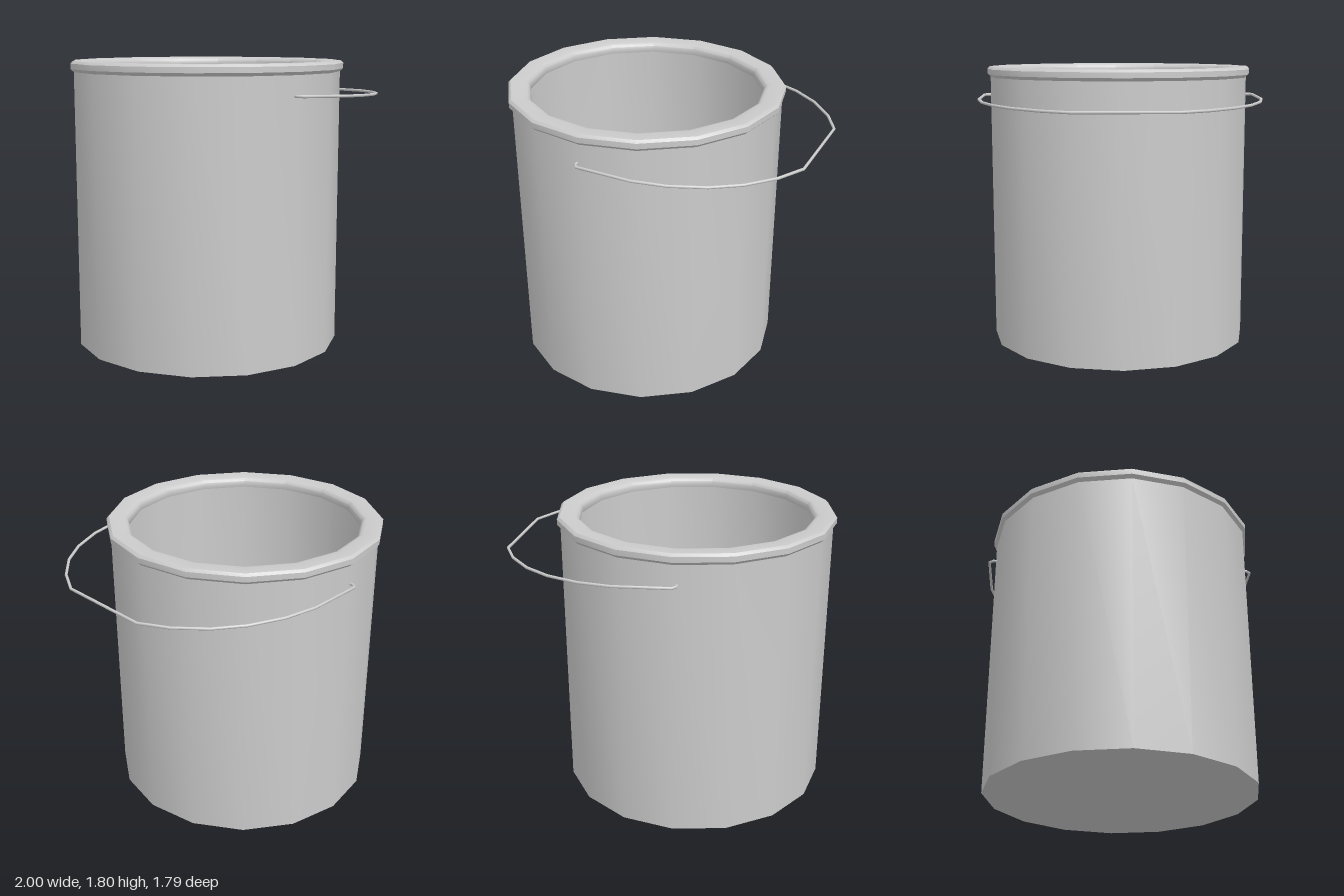
import * as THREE from 'three';
import { toCreasedNormals } from 'three/addons/utils/BufferGeometryUtils.js';

const SIDES = 16;
const CENTRE_X = -0.138;

// Straight-segment path with mitred corners
class Polyline extends THREE.Curve {
  constructor(points) { super(); this.points = points; }
  getPoint(t, target = new THREE.Vector3()) {
    const n = this.points.length - 1;
    const i = Math.min(Math.floor(t * n + 1e-6), n - 1);
    return target.lerpVectors(this.points[i], this.points[i + 1], t * n - i);
  }
  getPointAt(t, target) { return this.getPoint(t, target); }
  getTangentAt(t, target = new THREE.Vector3()) {
    const n = this.points.length - 1, i = Math.round(t * n);
    const dir = (k) => this.points[k + 1].clone().sub(this.points[k]).normalize();
    return target.copy(dir(Math.max(i - 1, 0))).add(dir(Math.min(i, n - 1))).normalize();
  }
}

export function createModel() {
  const group = new THREE.Group();
  const metal = new THREE.MeshStandardMaterial({ color: 0xcccccc, side: THREE.DoubleSide });

  const add = (name, geometry, x = 0, y = 0) => {
    const mesh = new THREE.Mesh(geometry, metal);
    mesh.name = name;
    mesh.position.set(x, y, 0);
    group.add(mesh);
  };
  const lathe = (profile) => toCreasedNormals(
    new THREE.LatheGeometry(profile.map(([r, y]) => new THREE.Vector2(r, y)), SIDES), 0.6);
  const disc = (radius, facing) =>
    new THREE.CircleGeometry(radius, SIDES).rotateX(-facing * Math.PI / 2);

  // Can: outer and inner wall, base and floor
  add('outerWall', lathe([[0.843, 0], [0.843, 1.74]]), CENTRE_X);
  add('innerWall', lathe([[0.832, 1.74], [0.832, 0.01]]), CENTRE_X);
  add('base', disc(0.843, -1), CENTRE_X);
  add('floor', disc(0.832, 1), CENTRE_X, 0.01);

  // Rolled rim with an inward lip
  add('rim', lathe([
    [0.843, 1.733], [0.863, 1.752], [0.863, 1.785], [0.848, 1.8], [0.765, 1.8],
    [0.742, 1.793], [0.729, 1.777], [0.725, 1.755], [0.73, 1.735], [0.843, 1.733],
  ]), CENTRE_X);

  // Wire handle: half the outline in [x, z], mirrored to the other side
  const half = [[-0.16, 0.835], [-0.16, 0.86], [-0.138, 0.886], [0.2, 0.886], [0.4, 0.844],
    [0.6, 0.755], [0.76, 0.637], [0.9, 0.473], [0.991, 0.3]];
  const outline = [...half, ...half.map(([x, z]) => [x, -z]).reverse()];
  const path = outline.map(([x, z]) => new THREE.Vector3(x, 1.613 - 0.032 * (x + 0.14), z));
  add('handle', new THREE.TubeGeometry(new Polyline(path), path.length - 1, 0.009, 8));

  return group;
}
